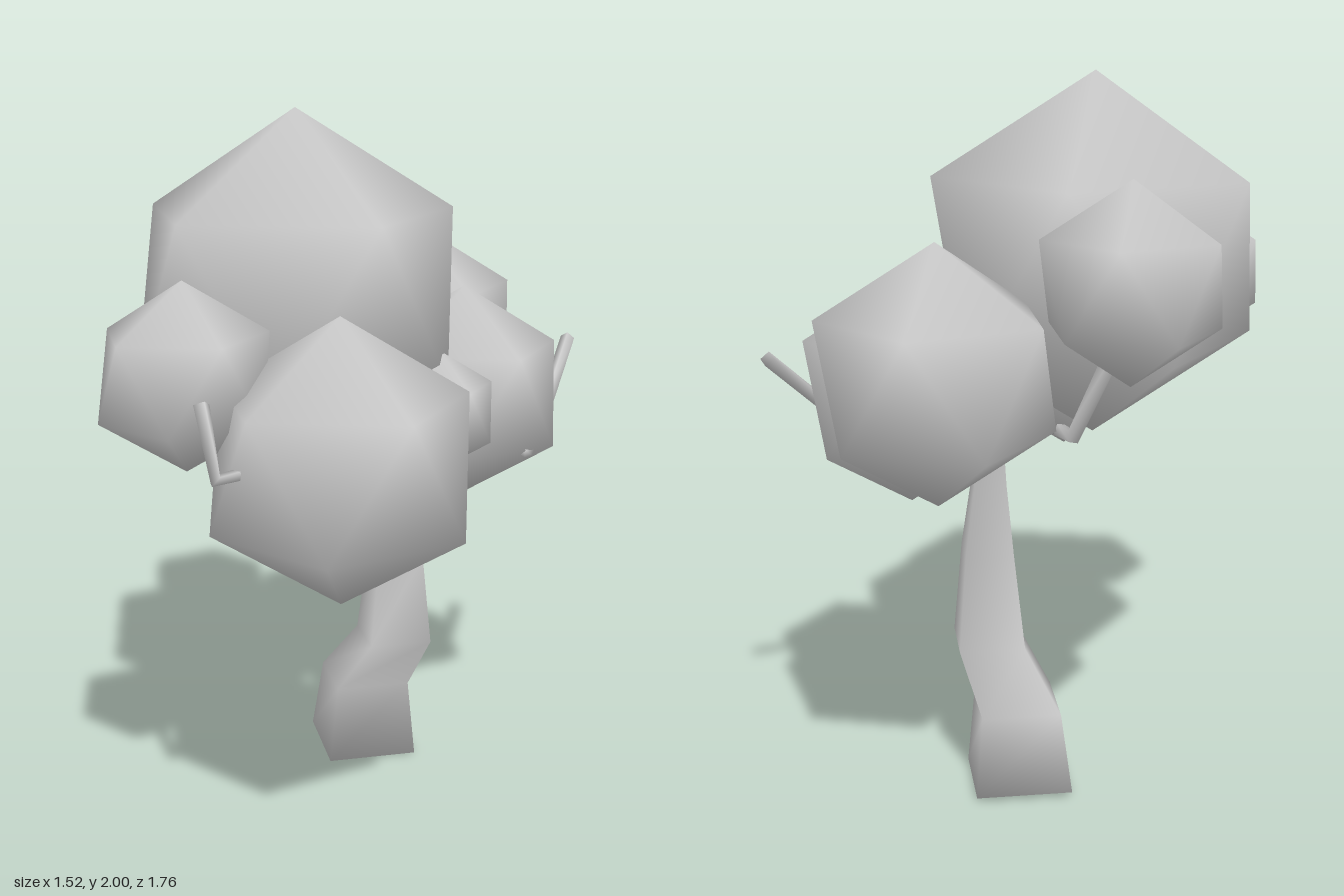
import * as THREE from 'three';

const clay = new THREE.MeshStandardMaterial({ color: 0xcccccc });
clay.name = 'light grey';

function smoothGeometry(points, index) {
  const g = new THREE.BufferGeometry().setFromPoints(points);
  g.setIndex(index);
  g.computeVertexNormals();
  return g;
}

// Twelve-point leaf ball: two poles and two staggered rings of five
function leafBall() {
  const pts = [new THREE.Vector3(0, 1, 0), new THREE.Vector3(0, -1, 0)];
  const h = 1 / Math.sqrt(5);
  for (let k = 0; k < 10; k++) {
    const a = (k * Math.PI) / 5;
    pts.push(new THREE.Vector3(2 * h * Math.cos(a), k % 2 ? -h : h, 2 * h * Math.sin(a)));
  }
  const index = [];
  for (let k = 0; k < 10; k++) {
    const a = 2 + k, b = 2 + (k + 1) % 10, c = 2 + (k + 2) % 10;
    if (k % 2 === 0) index.push(a, c, b, 0, c, a);
    else index.push(a, b, c, 1, a, c);
  }
  return smoothGeometry(pts, index);
}

// Square-section limb through nodes [x, y, z, half width]
function limb(nodes, fixedNormal) {
  const centre = nodes.map(n => new THREE.Vector3(n[0], n[1], n[2]));
  const pts = [], index = [];
  let u = null;
  const last = nodes.length - 1;
  centre.forEach((p, i) => {
    const n = new THREE.Vector3();
    if (fixedNormal) n.copy(fixedNormal(i));
    else {
      if (i > 0) n.add(p.clone().sub(centre[i - 1]).normalize());
      if (i < last) n.add(centre[i + 1].clone().sub(p).normalize());
    }
    n.normalize();
    if (!u) {
      const ref = Math.abs(n.z) > 0.8 ? new THREE.Vector3(1, 0, 0) : new THREE.Vector3(0, 0, 1);
      u = ref.cross(n);
    }
    u.addScaledVector(n, -u.dot(n)).normalize();
    const v = n.clone().cross(u);
    for (const [a, b] of [[1, 1], [-1, 1], [-1, -1], [1, -1]]) {
      pts.push(p.clone().addScaledVector(u, a * nodes[i][3]).addScaledVector(v, b * nodes[i][3]));
    }
  });
  for (let i = 0; i < last; i++) {
    for (let j = 0; j < 4; j++) {
      const a = i * 4 + j, b = i * 4 + (j + 1) % 4;
      index.push(a, b, b + 4, a, b + 4, a + 4);
    }
  }
  const e = last * 4;
  index.push(0, 2, 1, 0, 3, 2, e, e + 1, e + 2, e, e + 2, e + 3);
  return smoothGeometry(pts, index);
}

export function createModel() {
  const tree = new THREE.Group();
  tree.name = 'tree';
  const add = (name, geometry) => {
    const m = new THREE.Mesh(geometry, clay);
    m.name = name;
    tree.add(m);
    return m;
  };

  // Crooked tapering trunk with a slightly tilted foot
  add('trunk', limb([
    [0.075, 0.012, -0.245, 0.135],
    [0.078, 0.24, -0.23, 0.111],
    [0.148, 0.40, -0.142, 0.093],
    [0.15, 0.67, -0.133, 0.068],
    [0.148, 0.88, -0.165, 0.045],
    [0.148, 1.06, -0.165, 0.035],
    [0.1, 1.25, -0.15, 0.03],
  ], i => new THREE.Vector3(0, 1, i === 0 ? 0.05 : 0)));

  // Foliage: [name, x, y, z, radius]
  const ball = leafBall();
  for (const [name, x, y, z, r] of [
    ['crownFoliage', -0.165, 1.494, -0.045, 0.508],
    ['frontFoliage', -0.175, 1.155, 0.56, 0.375],
    ['frontRightFoliage', -0.545, 1.365, 0.42, 0.245],
    ['leftFoliage', 0.363, 1.155, -0.16, 0.32],
    ['backLeftFoliage', 0.315, 1.275, -0.525, 0.34],
    ['backFoliage', -0.153, 1.522, -0.66, 0.255],
    ['smallFrontFoliage', 0.183, 1.188, 0.203, 0.17],
  ]) {
    const m = add(name, ball);
    m.position.set(x, y, z);
    m.scale.setScalar(r);
  }

  // Bare twigs poking out of the foliage
  const w = 0.015;
  add('leftTwig', limb([[0.5, 1.0, 0.03, w], [0.62, 1.13, -0.12, w], [0.74, 1.28, -0.285, w]]));
  add('frontRightTwig', limb([[-0.34, 1.18, 0.62, w], [-0.515, 1.18, 0.725, w], [-0.53, 1.34, 0.62, w]]));
  add('frontTwig', limb([[0.05, 1.1, 0.3, w], [0.13, 1.1, 0.435, w], [0.155, 1.105, 0.435, w], [0.155, 1.11, 0.22, w]]));
  add('backTwig', limb([[0.0, 1.12, -0.5, w], [-0.03, 1.11, -0.54, w], [-0.1, 1.31, -0.62, w]]));
  return tree;
}
